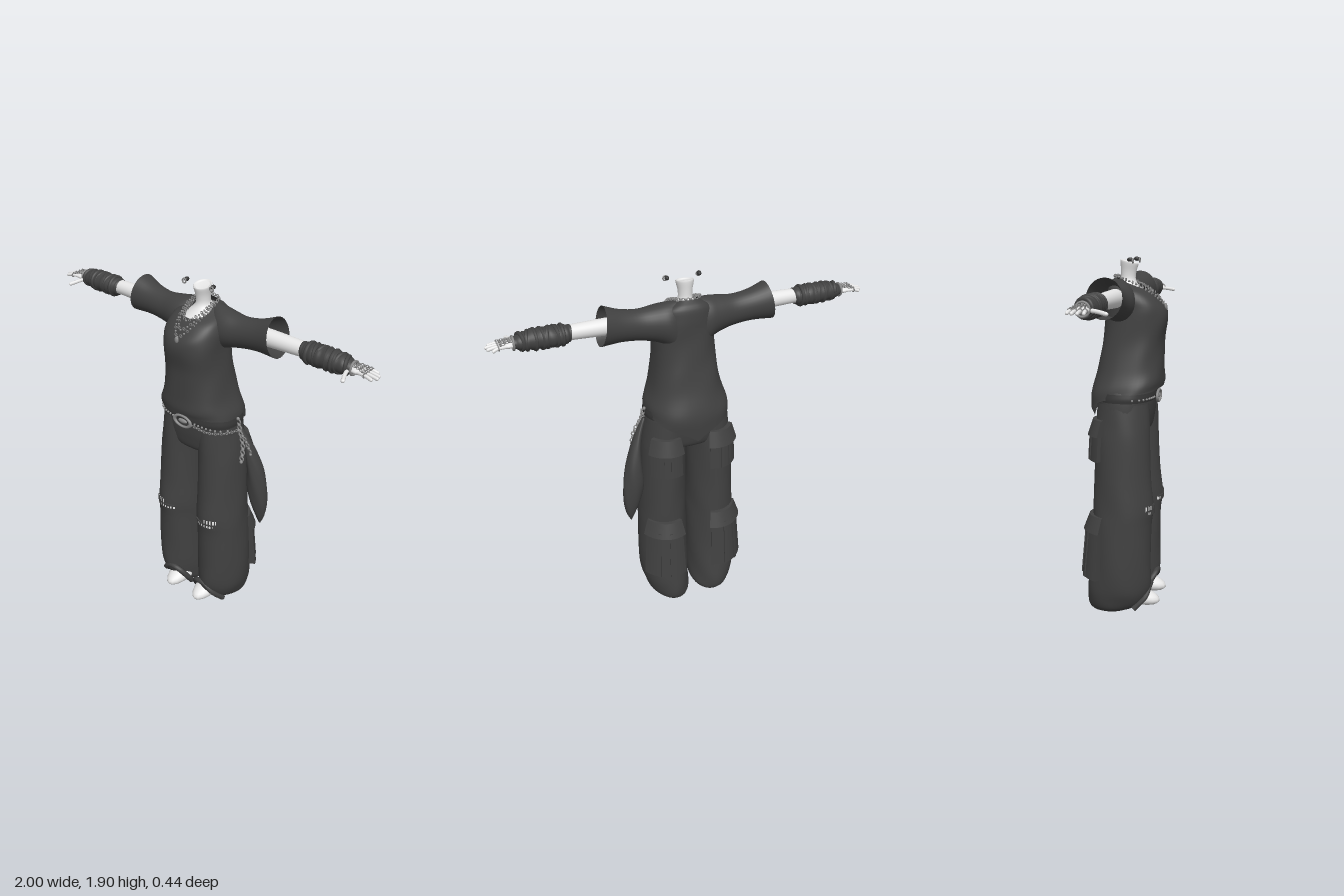
import * as THREE from 'three';
import { toCreasedNormals } from 'three/addons/utils/BufferGeometryUtils.js';

const mat = (name, color) => new THREE.MeshStandardMaterial({ name, color, side: THREE.DoubleSide });
const V = (x, y, z) => new THREE.Vector3(x, y, z);
const pw = (c, e) => Math.sign(c) * Math.abs(c) ** (2 / e);
const mix = THREE.MathUtils.lerp;

// Joins rings of points into a skin, with optional end caps
function loft(rings, caps = false) {
  const n = rings[0].length, pos = [], idx = [];
  rings.forEach(r => r.forEach(p => pos.push(p.x, p.y, p.z)));
  for (let j = 0; j < rings.length - 1; j++) for (let i = 0; i < n; i++) {
    const a = j * n + i, b = j * n + (i + 1) % n;
    idx.push(a, a + n, b, b, a + n, b + n);
  }
  if (caps) [0, rings.length - 1].forEach((j, end) => {
    const c = rings[j].reduce((s, p) => s.add(p), V(0, 0, 0)).divideScalar(n), k = pos.length / 3;
    pos.push(c.x, c.y, c.z);
    for (let i = 0; i < n; i++) {
      const a = j * n + i, b = j * n + (i + 1) % n;
      end ? idx.push(a, k, b) : idx.push(a, b, k);
    }
  });
  const g = new THREE.BufferGeometry();
  g.setAttribute('position', new THREE.Float32BufferAttribute(pos, 3));
  g.setIndex(idx);
  g.computeVertexNormals();
  return g;
}

// Smoothly resamples a short table of cross-sections
function dense(rows, k = 4) {
  const size = rows[0].length, cubic = new THREE.CubicInterpolant(rows.map((_, i) => i), rows.flat(), size);
  return Array.from({ length: (rows.length - 1) * k + 1 }, (_, i) => Array.from(cubic.evaluate(i / k)));
}
const around = (n, f) => Array.from({ length: n }, (_, i) => f(i / n * Math.PI * 2));

// Upright form; rows are [yFront, yBack, centreX, halfWidth, zFront, zBack, droop], a droop below 1 keeps the low part at the back
function upright(rows, e = 2.3, ripple = 0, caps = false) {
  return loft(dense(rows).map(([yF, yB, cx, w, zF, zB, droop = 1], j) => around(48, a => {
    const r = 1 + ripple * Math.sin(5 * a + j * 0.55), s = pw(Math.sin(a), e);
    return V(cx + w * r * pw(Math.cos(a), e), mix(yB, yF, Math.max(0, (s + 1) / 2) ** droop), (zF + zB) / 2 + (zF - zB) / 2 * r * s);
  })), caps);
}
// Sideways form; rows are [xTop, xBottom, yTop, yBottom, zFront, zBack]
function sideways(rows, lump = 0) {
  return loft(dense(rows).map(([xT, xB, yT, yB, zF, zB], j) => around(32, a => {
    const r = 1 + lump * Math.sin(j * 2.1 + Math.sin(a) * 1.5), c = Math.cos(a);
    return V(mix(xB, xT, (c + 1) / 2), (yT + yB) / 2 + (yT - yB) / 2 * c * r, (zF + zB) / 2 - (zF - zB) / 2 * Math.sin(a) * r);
  })));
}
// Curved slab wrapped around a leg between two angles
function slab(cx, w, d, a0, a1, y0, y1, off0, off1) {
  const n = 14, ring = (y, off) => {
    const p = (i, o) => {
      const a = THREE.MathUtils.degToRad(mix(a0, a1, i / n));
      return V(cx + (w + o) * Math.cos(a), y, (d + o) * Math.sin(a));
    };
    const ids = Array.from({ length: n + 1 }, (_, i) => i);
    return [...ids.map(i => p(i, off)), ...ids.reverse().map(i => p(i, -0.02))];
  };
  return toCreasedNormals(loft([ring(y0, off0), ring(y1, off1)], true), 0.6);
}

export function createModel() {
  const cloth = mat('dark cloth', 0x414141), leather = mat('belt leather', 0x363636);
  const skin = mat('pale skin', 0xe6e6e6), metal = mat('grey metal', 0x888888);
  const model = new THREE.Group();
  const add = (parent, name, geo, m) => {
    const mesh = new THREE.Mesh(geo, m);
    mesh.name = name;
    parent.add(mesh);
    return mesh;
  };
  const ball = (parent, name, m, p, s) => {
    const b = add(parent, name, new THREE.SphereGeometry(1, 20, 14), m);
    b.position.set(...p);
    b.scale.set(...s);
    return b;
  };
  const tube = (parent, name, m, pts, r) => add(parent, name,
    new THREE.TubeGeometry(new THREE.CatmullRomCurve3(pts.map(p => V(...p))), 24, r, 8), m);
  // Chain of beads and links along a curve
  const chain = (parent, name, pts, count, r) => {
    const g = new THREE.Group(), c = new THREE.CatmullRomCurve3(pts.map(p => V(...p)));
    g.name = name;
    parent.add(g);
    for (let i = 0; i <= count; i++) {
      const b = add(g, 'link', i % 2 ? new THREE.TorusGeometry(r, r * 0.35, 6, 10) : new THREE.SphereGeometry(r * 0.8, 8, 6), metal);
      b.position.copy(c.getPointAt(i / count));
    }
  };

  // Shirt body with a hem drooping at the back, neck and upper chest
  add(model, 'shirtBody', upright([
    [1.235, 1.06, 0, 0.222, 0.198, -0.176, 0.3], [1.27, 1.19, 0, 0.213, 0.206, -0.178, 0.5], [1.33, 1.315, 0, 0.187, 0.204, -0.145, 1],
    [1.41, 1.41, 0, 0.17, 0.203, -0.127, 1], [1.49, 1.49, 0, 0.16, 0.206, -0.113, 1], [1.58, 1.58, 0, 0.156, 0.221, -0.103, 1],
    [1.64, 1.65, 0, 0.156, 0.214, -0.1, 1], [1.685, 1.71, 0, 0.155, 0.184, -0.097, 1], [1.718, 1.77, 0, 0.132, 0.153, -0.088, 1],
    [1.738, 1.802, 0, 0.072, 0.125, -0.052, 1]], 2.5, 0.008), cloth);
  add(model, 'neckAndChest', upright([
    [1.712, 1.775, 0, 0.073, 0.128, -0.05], [1.757, 1.787, 0, 0.048, 0.072, -0.036], [1.79, 1.8, 0, 0.036, 0.052, -0.026],
    [1.83, 1.84, 0, 0.037, 0.055, -0.026], [1.87, 1.89, 0, 0.046, 0.066, -0.029], [1.865, 1.884, 0, 0.033, 0.053, -0.017]], 2, 0, true), skin);

  // Trouser hips and belt
  add(model, 'trouserHips', upright([
    [0.985, 0.985, 0, 0.13, 0.1, -0.09], [1.01, 1.01, 0, 0.19, 0.136, -0.118], [1.07, 1.07, 0, 0.226, 0.15, -0.131],
    [1.13, 1.13, 0, 0.231, 0.157, -0.135], [1.22, 1.22, 0, 0.218, 0.16, -0.13], [1.27, 1.27, 0, 0.18, 0.14, -0.11]], 2.3), cloth);
  const beltZ = x => 0.02 + 0.152 * (1 - Math.min(1, Math.abs(x / 0.232)) ** 2.4) ** (1 / 2.4);
  add(model, 'belt', upright([[1.17, 1.17, 0, 0.229, 0.165, -0.137], [1.19, 1.19, 0, 0.23, 0.169, -0.139],
    [1.215, 1.215, 0, 0.225, 0.167, -0.137]], 2.4), leather);
  const buckle = add(model, 'buckle', new THREE.TorusGeometry(0.045, 0.009, 10, 32), metal);
  buckle.position.set(0, 1.183, 0.18);
  buckle.scale.set(1.2, 0.68, 0.8);
  ball(model, 'buckleOrnament', metal, [0, 1.183, 0.178], [0.03, 0.012, 0.009]);
  for (let i = 0; i < 16; i++) {
    const x = (i < 8 ? 0.075 + i * 0.021 : -0.075 - (i - 8) * 0.021);
    ball(model, 'beltStud', metal, [x, 1.187 - (x > 0 ? (x - 0.07) * 0.16 : 0), beltZ(x) + 0.002], [0.006, 0.006, 0.006]);
  }

  // Hanging sash and charms on the left hip
  add(model, 'hangingSash', upright([
    [1.16, 1.16, 0.24, 0.008, 0.01, -0.01], [1.08, 1.08, 0.276, 0.018, 0.01, -0.04], [1.0, 1.0, 0.3, 0.029, 0.01, -0.067],
    [0.9, 0.9, 0.317, 0.045, 0.006, -0.091], [0.8, 0.8, 0.324, 0.056, 0, -0.1], [0.7, 0.7, 0.336, 0.049, -0.013, -0.094],
    [0.62, 0.62, 0.347, 0.026, -0.032, -0.08], [0.565, 0.565, 0.347, 0.003, -0.054, -0.06]], 2, 0.02, true), cloth);
  chain(model, 'charmStrand', [[0.232, 1.21, 0.01], [0.25, 1.14, 0.012], [0.272, 1.06, 0.015], [0.287, 0.985, 0.045]], 14, 0.012);
  chain(model, 'shortCharmStrand', [[0.245, 1.15, 0.02], [0.29, 1.09, 0.01], [0.312, 1.02, 0.0]], 8, 0.01);
  chain(model, 'beltChain', [[0.06, 1.175, beltZ(0.06) + 0.005], [0.15, 1.155, beltZ(0.15) + 0.005], [0.215, 1.15, 0.09], [0.245, 1.15, 0.015]], 18, 0.007);

  // Necklaces resting on the chest
  [[0.072, 1.665, 0.206, 28], [0.062, 1.695, 0.183, 24], [0.05, 1.73, 0.142, 20]].forEach(([w, y, z, n]) =>
    chain(model, 'necklace', [[-w, 1.797, -0.005], [-w, 1.772, 0.06], [-w * 0.62, mix(y, 1.765, 0.4), mix(z, 0.085, 0.35)], [0, y, z],
      [w * 0.62, mix(y, 1.765, 0.4), mix(z, 0.085, 0.35)], [w, 1.772, 0.06], [w, 1.797, -0.005]], n, 0.007));
  chain(model, 'necklaceBack', [[-0.07, 1.8, -0.005], [-0.05, 1.808, -0.045], [0, 1.808, -0.058], [0.05, 1.808, -0.045], [0.07, 1.8, -0.005]], 16, 0.007);
  ball(model, 'pendant', metal, [0, 1.652, 0.212], [0.012, 0.018, 0.008]);

  // Each side: sleeve, arm, hand, trouser leg, foot, pockets
  for (const side of [1, -1]) {
    const half = new THREE.Group();
    half.name = side > 0 ? 'leftSide' : 'rightSide';
    half.scale.x = side;
    model.add(half);

    add(half, 'sleeve', sideways([
      [0.06, 0.06, 1.795, 1.5, 0.05, -0.085], [0.11, 0.11, 1.789, 1.56, 0.075, -0.093], [0.165, 0.165, 1.781, 1.59, 0.08, -0.084],
      [0.25, 0.25, 1.772, 1.612, 0.066, -0.07], [0.34, 0.35, 1.786, 1.624, 0.066, -0.078], [0.425, 0.46, 1.818, 1.62, 0.08, -0.1]]), cloth);
    add(half, 'arm', sideways([[0.25, 0.25, 1.755, 1.66, 0.045, -0.045], [0.45, 0.45, 1.752, 1.668, 0.042, -0.042],
      [0.65, 0.65, 1.745, 1.675, 0.035, -0.035], [0.86, 0.86, 1.727, 1.683, 0.027, -0.027]]), skin);
    add(half, 'armWrap', sideways([[0.59, 0.6, 1.748, 1.668, 0.04, -0.04], [0.62, 0.62, 1.752, 1.66, 0.05, -0.05],
      [0.67, 0.67, 1.757, 1.656, 0.056, -0.056], [0.72, 0.72, 1.758, 1.655, 0.055, -0.055],
      [0.78, 0.78, 1.757, 1.658, 0.052, -0.052], [0.83, 0.83, 1.745, 1.665, 0.045, -0.045], [0.87, 0.87, 1.73, 1.68, 0.034, -0.034]], 0.06), cloth);
    for (let i = 0; i < 7; i++) {
      const fold = add(half, 'wrapFold', new THREE.TorusGeometry(0.048 - Math.max(0, i - 4) * 0.004, 0.01, 8, 28), cloth);
      fold.position.set(0.635 + i * 0.033, 1.706, 0);
      fold.rotation.set(0, Math.PI / 2 + 0.28 * Math.sin(i * 2.3), 0.2 * Math.cos(i * 1.7));
    }

    // Hand with fingers and jewellery
    ball(half, 'palm', skin, [0.89, 1.702, 0], [0.045, 0.017, 0.037]);
    [[-0.028, 0.972, -0.04], [-0.01, 0.993, -0.014], [0.009, 0.999, 0.012], [0.027, 0.984, 0.037]].forEach(([z, x, z2]) => {
      tube(half, 'finger', skin, [[0.9, 1.703, z], [0.945, 1.703, mix(z, z2, 0.6)], [x - 0.005, 1.696, z2]], 0.0085);
      ball(half, 'fingertip', skin, [x - 0.006, 1.696, z2], [0.007, 0.008, 0.008]);
      const ring = add(half, 'fingerRing', new THREE.TorusGeometry(0.01, 0.003, 6, 14), metal);
      ring.position.set(0.94, 1.703, mix(z, z2, 0.55));
      ring.rotation.y = Math.PI / 2;
      chain(half, 'handChain', [[0.865, 1.723, z * 0.6], [0.9, 1.721, z * 0.8], [0.937, 1.713, mix(z, z2, 0.5)]], 7, 0.006);
    });
    tube(half, 'thumb', skin, [[0.85, 1.7, 0.02], [0.862, 1.695, 0.065], [0.88, 1.687, 0.108]], 0.01);
    ball(half, 'thumbTip', skin, [0.88, 1.687, 0.108], [0.01, 0.009, 0.01]);
    const bangle = add(half, 'bracelet', new THREE.TorusGeometry(0.032, 0.006, 8, 24), metal);
    bangle.position.set(0.868, 1.704, 0);
    bangle.rotation.y = Math.PI / 2;

    // Wide trouser leg with bunched cuff
    add(half, 'trouserLeg', upright([
      [0.01, 0, 0.115, 0.09, 0.06, -0.165], [0.04, 0.025, 0.125, 0.114, 0.115, -0.178], [0.09, 0.08, 0.135, 0.126, 0.15, -0.183],
      [0.16, 0.16, 0.143, 0.135, 0.168, -0.178], [0.3, 0.3, 0.146, 0.138, 0.168, -0.16], [0.5, 0.5, 0.143, 0.135, 0.17, -0.148],
      [0.6, 0.6, 0.141, 0.131, 0.18, -0.146], [0.75, 0.75, 0.138, 0.126, 0.166, -0.14], [0.95, 0.95, 0.131, 0.122, 0.156, -0.135],
      [1.06, 1.06, 0.122, 0.118, 0.153, -0.13], [1.16, 1.16, 0.115, 0.112, 0.148, -0.125]], 1.92, 0.008), cloth);
    tube(half, 'cuffFold', cloth, [[0.032, 0.03, 0.085], [0.035, 0.09, 0.125], [0.072, 0.14, 0.155], [0.13, 0.144, 0.158],
      [0.178, 0.1, 0.145], [0.21, 0.035, 0.085]], 0.016);
    ball(half, 'foot', skin, [0.1, 0.08, 0.06], [0.066, 0.05, 0.155]).rotation.x = 0.2;

    // Torn knee: opening crossed by loose threads
    const tear = (name, m, a0, a1, y0, y1, off) => add(half, name, slab(0.141, 0.131, 0.18, a0, a1, y0, y1, off, off), m);
    tear('kneeOpening', skin, 66, 116, 0.572, 0.592, 0.003);
    tear('kneeOpening', skin, 58, 90, 0.592, 0.618, 0.003);
    for (let i = 0; i < 8; i++) tear('kneeThread', cloth, 60 + i * 7, 62.5 + i * 7, 0.568, i < 5 ? 0.622 : 0.596, 0.006);
    tear('kneeThread', cloth, 58, 116, 0.589, 0.597, 0.006);

    // Cargo pockets: bag, pleats and flap
    [[0.142, 0.118, 0.153, -112, -30, 0.21, 0.5, 0.056, 0.03, 0.555], [0.132, 0.106, 0.133, -112, -38, 0.855, 1.02, 0.036, 0.026, 1.075]]
      .forEach(([cx, w, d, a0, a1, y0, y1, o0, o1, top]) => {
        add(half, 'cargoPocket', slab(cx, w, d, a0, a1, y0, y1, o0, o1), cloth);
        for (const t of [0.36, 0.64]) {
          const a = mix(a0, a1, t);
          add(half, 'pocketPleat', slab(cx, w, d, a - 3, a + 3, y0 + 0.004, y1, o0 + 0.006, o1 + 0.006), cloth);
        }
        add(half, 'pocketFlap', slab(cx, w, d, a0 - 3, a1 + 3, y1 - 0.03, top, o1 + 0.016, 0.014), cloth);
      });

    // Earring floating beside the neck
    ball(half, 'earringStud', leather, [0.085, 1.893, 0.04], [0.011, 0.011, 0.016]);
    const hoop = add(half, 'earringHoop', new THREE.TorusGeometry(0.011, 0.004, 8, 16), metal);
    hoop.position.set(0.088, 1.887, 0.055);
  }
  return model;
}
